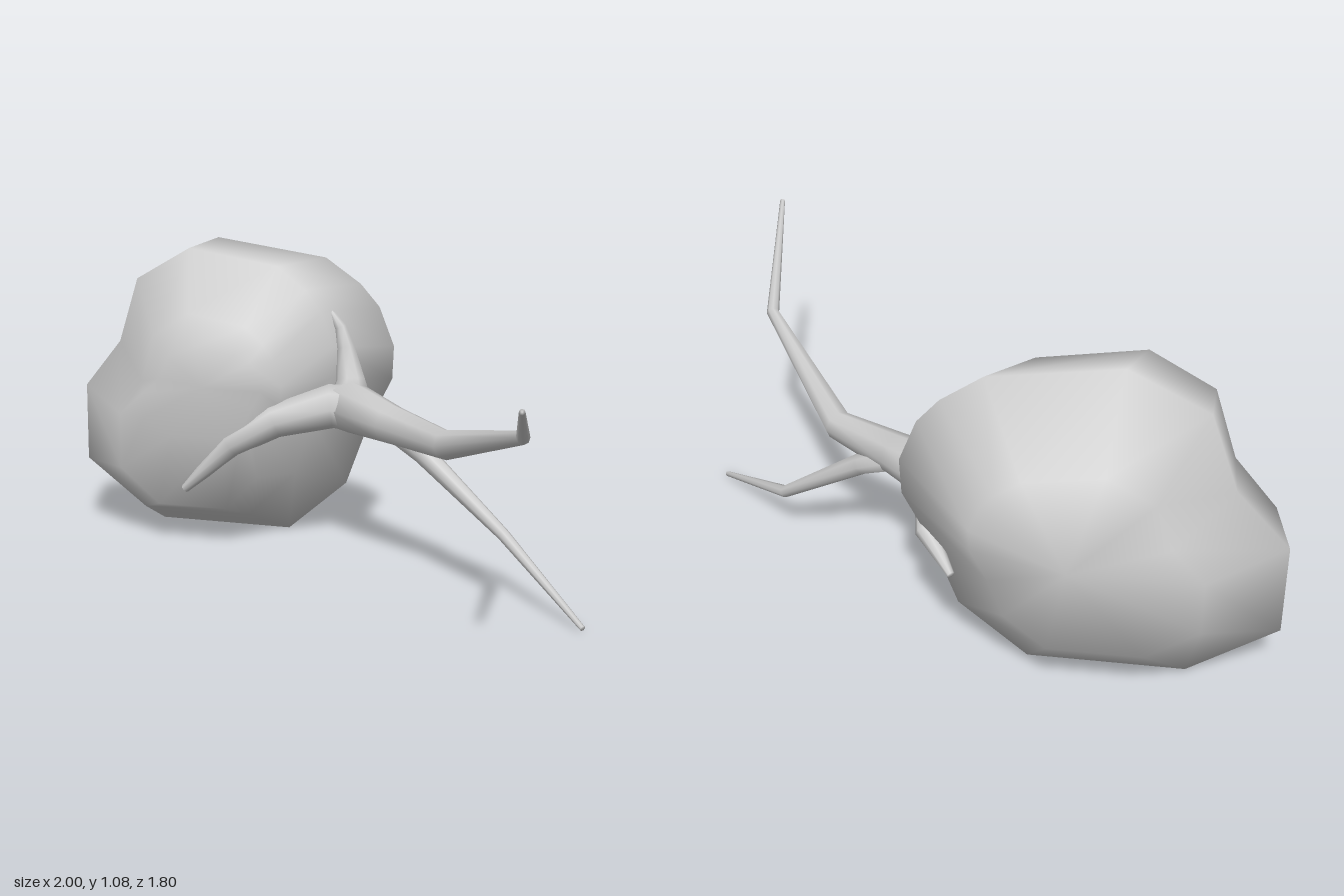
import * as THREE from 'three';

const material = new THREE.MeshStandardMaterial({ color: 0xcccccc });

// Skin over equal-length rings, closed by a single point at each end
function loft(rings, first, last) {
  const n = rings[0].length, positions = [], index = [];
  for (const p of [...rings.flat(), first, last]) positions.push(p.x, p.y, p.z);
  const start = rings.length * n, end = start + 1, base = (rings.length - 1) * n;
  for (let k = 0; k < n; k++) {
    const next = (k + 1) % n;
    for (let i = 0; i < rings.length - 1; i++) {
      const a = i * n + k, b = i * n + next;
      index.push(a, a + n, b, b, a + n, b + n);
    }
    index.push(start, k, next, end, base + next, base + k);
  }
  const geometry = new THREE.BufferGeometry();
  geometry.setAttribute('position', new THREE.Float32BufferAttribute(positions, 3));
  geometry.setIndex(index);
  geometry.computeVertexNormals();
  return geometry;
}

// Tapered limb through knots [x, y, z, radius], mitred at each bend
function limb(knots, sides = 8) {
  const points = knots.map(([x, y, z]) => new THREE.Vector3(x, y, z));
  const u = new THREE.Vector3(0, 1, 0);
  const along = points[1].clone().sub(points[0]).normalize();
  if (Math.abs(along.y) > 0.8) u.set(1, 0, 0);
  const rings = points.map((p, i) => {
    const d = new THREE.Vector3();
    if (i > 0) d.add(p.clone().sub(points[i - 1]).normalize());
    if (i < points.length - 1) d.add(points[i + 1].clone().sub(p).normalize());
    d.normalize();
    u.addScaledVector(d, -u.dot(d)).normalize();
    const v = d.clone().cross(u), r = knots[i][3];
    return Array.from({ length: sides }, (_, k) => {
      const t = (k / sides) * Math.PI * 2;
      return p.clone().addScaledVector(u, r * Math.cos(t)).addScaledVector(v, -r * Math.sin(t));
    });
  });
  return loft(rings, points[0], points[points.length - 1]);
}

// Boulder: one rugged outline, scaled into slices from front to back
function boulder() {
  const outline = [
    [-0.72, 0.01], [-0.22, 0.01], [0, 0.2], [0.08, 0.42], [0.17, 0.6], [0.175, 0.72], [0.12, 0.86],
    [0.05, 0.94], [-0.08, 1.03], [-0.49, 1.09], [-0.74, 0.96], [-0.83, 0.7], [-1, 0.51], [-1, 0.2],
  ];
  // z, centre x, centre y, scale x, scale y
  const slices = [
    [-0.235, -0.43, 0.58, 0.38, 0.3],
    [-0.29, -0.46, 0.5, 0.52, 0.65],
    [-0.43, -0.48, 0.58, 0.81, 0.9],
    [-0.59, -0.41, 0.55, 1, 1],
    [-0.82, -0.41, 0.55, 0.585, 0.58],
  ];
  const rings = slices.map(([z, cx, cy, sx, sy]) => outline.map(([x, y]) =>
    new THREE.Vector3(cx + (x + 0.41) * sx, cy + (y - 0.55) * sy, z)));
  return loft(rings, new THREE.Vector3(-0.43, 0.6, -0.228), new THREE.Vector3(-0.36, 0.58, -0.9));
}

export function createModel() {
  const group = new THREE.Group();
  const add = (name, geometry) => {
    const mesh = new THREE.Mesh(geometry, material);
    mesh.name = name;
    group.add(mesh);
  };

  add('boulder', boulder());

  // Main branch and its lower fork
  add('mainBranch', limb([
    [0.01, 0.53, -0.45, 0.06], [0.06, 0.53, -0.4, 0.095], [0.25, 0.51, -0.25, 0.07],
    [0.48, 0.49, -0.08, 0.05], [0.81, 0.64, 0.38, 0.022], [0.89, 0.828, 0.895, 0.009],
  ]));
  add('lowerBranch', limb([
    [0.27, 0.49, -0.25, 0.045], [0.38, 0.425, -0.2, 0.037], [0.68, 0.2, -0.08, 0.021], [0.99, 0.02, 0.25, 0.009],
  ]));

  // Roots gripping the boulder
  add('frontRoot', limb([
    [0.08, 0.53, -0.38, 0.08], [0, 0.53, -0.385, 0.08], [-0.18, 0.485, -0.28, 0.06],
    [-0.33, 0.395, -0.26, 0.045], [-0.51, 0.22, -0.262, 0.015],
  ]));
  add('upperRoot', limb([
    [0.06, 0.52, -0.41, 0.09], [0.055, 0.62, -0.44, 0.052], [0.03, 0.73, -0.46, 0.033],
    [0.01, 0.8, -0.465, 0.022], [-0.04, 0.875, -0.467, 0.007],
  ]));
  add('backRoot', limb([
    [0.06, 0.53, -0.4, 0.08], [0.1, 0.5, -0.5, 0.05], [0.095, 0.46, -0.59, 0.035], [0, 0.405, -0.72, 0.012],
  ]));

  return group;
}
